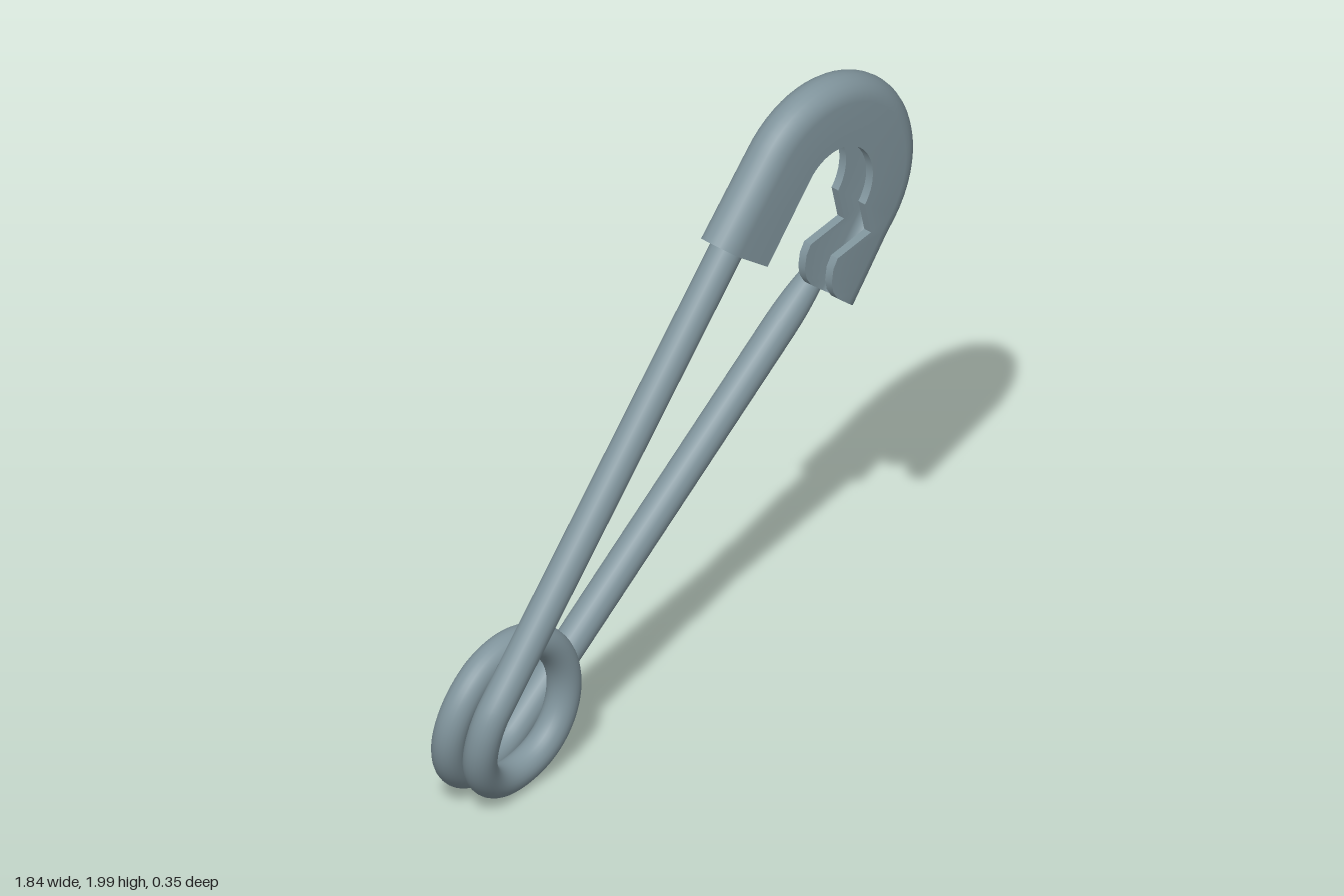
import * as THREE from 'three';
import { toCreasedNormals } from 'three/addons/utils/BufferGeometryUtils.js';

const RAD = Math.PI / 180;
const WIRE = 0.052;
const steel = new THREE.MeshStandardMaterial({ color: 0x80949c, side: THREE.DoubleSide });
steel.name = 'steel';

const smooth = (a, b, v) => THREE.MathUtils.smoothstep(v, a, b);

// straight run of points, first point included, last one left out
function run(a, b, n) {
  return Array.from({ length: n }, (_, i) => a.clone().lerp(b, i / n));
}

// Spring wire: upper arm, one and a half turns of coil, lower arm
const coilStart = 140, coilEnd = 669;
const radiusKnots = [[140, 0.215], [180, 0.209], [270, 0.222], [360, 0.223], [450, 0.223], [540, 0.237], [669, 0.221]];

function coilRadius(deg) {
  const k = Math.max(1, radiusKnots.findIndex(([d]) => d >= deg));
  const [d0, r0] = radiusKnots[k - 1], [d1, r1] = radiusKnots[k];
  return THREE.MathUtils.lerp(r0, r1, smooth(d0, d1, deg));
}

function coilPoint(deg) {
  const r = coilRadius(deg);
  const z = 0.105 - 0.108 * smooth(135, 290, deg) - 0.12 * smooth(495, 665, deg);
  return new THREE.Vector3(-0.635 + r * Math.cos(deg * RAD), 0.285 + r * Math.sin(deg * RAD), z);
}

const tip = new THREE.Vector3(0.9, 1.255, -0.123);
const tipBase = coilPoint(coilEnd).lerp(tip, 0.8);

function makeWire() {
  const points = run(new THREE.Vector3(0.225, 1.66, 0.105), coilPoint(coilStart), 12);
  for (let d = coilStart; d < coilEnd; d += 11.5) points.push(coilPoint(d));
  points.push(...run(coilPoint(coilEnd), tipBase, 12), tipBase);
  const curve = new THREE.CatmullRomCurve3(points, false, 'centripetal');
  return new THREE.Mesh(new THREE.TubeGeometry(curve, 360, WIRE, 24), steel);
}

// Sharp end: a lathed point that continues the lower arm
function makePoint() {
  const dir = tip.clone().sub(tipBase);
  const length = dir.length();
  const profile = [];
  for (let i = 0; i <= 12; i++) {
    const s = i / 12;
    profile.push(new THREE.Vector2(WIRE * (1 - s ** 1.9), s * length));
  }
  const mesh = new THREE.Mesh(new THREE.LatheGeometry(profile, 24), steel);
  mesh.position.copy(tipBase);
  mesh.quaternion.setFromUnitVectors(new THREE.Vector3(0, 1, 0), dir.normalize());
  return mesh;
}

// Clasp: a folded U channel swept round the head; each station is
// [outer x, outer y, outward angle, inner x, inner y]
function claspStations() {
  const list = [[0.09, 1.64, 141, 0.265, 1.51]];
  for (let i = 0; i <= 30; i++) {
    const deg = 141 - 180 * i / 30, c = Math.cos(deg * RAD), s = Math.sin(deg * RAD);
    list.push([0.562 + 0.356 * c, 1.644 + 0.356 * s, deg, 0.56 + 0.148 * c, 1.641 + 0.148 * s]);
  }
  // notch and rounded catch
  list.push(
    [0.80, 1.375, -38, 0.70, 1.44],
    [0.775, 1.342, -38, 0.56, 1.41],
    [0.745, 1.302, -38, 0.542, 1.38],
    [0.715, 1.262, -38, 0.535, 1.335],
    [0.685, 1.223, -38, 0.542, 1.30],
    [0.66, 1.19, -38, 0.56, 1.27]
  );
  return list;
}

function claspSection([ox, oy, deg, ix, iy], half) {
  const nx = -Math.cos(deg * RAD), ny = -Math.sin(deg * RAD), z0 = 0.105;
  const pts = [[ix, iy, z0 + half]];
  for (let k = 0; k <= 12; k++) {
    const a = Math.PI / 2 - Math.PI * k / 12;
    const depth = 0.07 - half * Math.cos(a);
    pts.push([ox + nx * depth, oy + ny * depth, z0 + half * Math.sin(a)]);
  }
  pts.push([ix, iy, z0 - half]);
  return pts;
}

function makeClasp() {
  const stations = claspStations();
  const positions = [], index = [];
  let m = 0;
  for (const s of stations) {
    const loop = [...claspSection(s, 0.07), ...claspSection(s, 0.042).reverse()];
    m = loop.length;
    positions.push(...loop.flat());
  }
  const last = (stations.length - 1) * m;
  for (let i = 0; i < last; i += m) {
    for (let j = 0; j < m; j++) {
      const a = i + j, b = i + (j + 1) % m;
      index.push(a, a + m, b, b, a + m, b + m);
    }
  }
  // end faces between the outer and inner walls
  for (let j = 0; j < m / 2 - 1; j++) {
    const a = j, b = j + 1, c = m - 1 - j, d = m - 2 - j;
    index.push(a, b, c, b, d, c);
    index.push(last + a, last + c, last + b, last + b, last + c, last + d);
  }
  const geo = new THREE.BufferGeometry();
  geo.setAttribute('position', new THREE.Float32BufferAttribute(positions, 3));
  geo.setIndex(index);
  return new THREE.Mesh(toCreasedNormals(geo, 0.6), steel);
}

export function createModel() {
  const group = new THREE.Group();
  group.name = 'safetyPin';
  const parts = { springWire: makeWire(), sharpPoint: makePoint(), clasp: makeClasp() };
  for (const [name, mesh] of Object.entries(parts)) {
    mesh.name = name;
    group.add(mesh);
  }
  return group;
}
